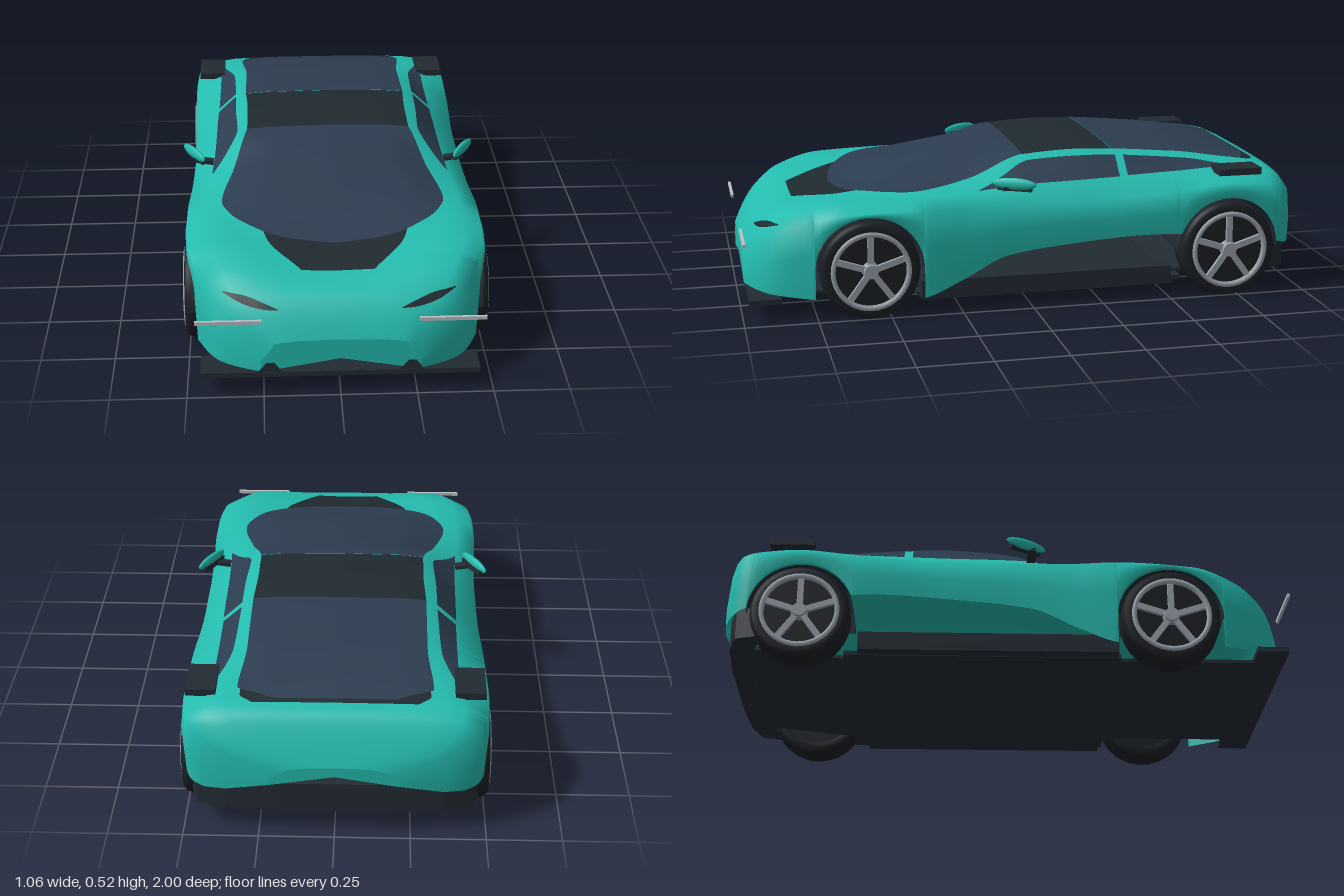
import * as THREE from 'three';

const mat = (name, color, side = THREE.FrontSide) => {
  const m = new THREE.MeshStandardMaterial({ color, side });
  m.name = name;
  return m;
};

// Stations nose to tail: z, centre height, then x/y of roof rail, belt line and shoulder
const STATIONS = [
  [.985, .20, .20, .19, .22, .185, .22, .17],
  [.95, .27, .22, .26, .26, .25, .31, .23],
  [.90, .32, .26, .315, .33, .30, .385, .275],
  [.81, .345, .27, .365, .38, .36, .44, .33],
  [.65, .372, .33, .395, .43, .395, .495, .365],
  [.40, .44, .39, .405, .44, .402, .505, .375],
  [.20, .485, .345, .435, .43, .405, .495, .37],
  [0, .513, .315, .50, .42, .415, .49, .37],
  [-.20, .52, .325, .51, .415, .42, .49, .37],
  [-.55, .503, .33, .485, .41, .435, .50, .395],
  [-.72, .48, .34, .462, .41, .445, .50, .41],
  [-.86, .45, .35, .445, .42, .435, .495, .40],
  [-.92, .432, .34, .425, .41, .415, .475, .39],
  [-.97, .35, .29, .345, .35, .34, .39, .325],
  [-1, .28, .12, .275, .15, .27, .17, .26],
];
const AXLES = [.57, -.71], WHEEL_Y = .172, ARCH = .185;

// Smooth keyed interpolation (keys run from high z to low z) without overshoot
function keyed(keys, z, c = 1) {
  const n = keys.length - 1;
  let i = 0;
  while (i < n - 1 && z < keys[i + 1][0]) i++;
  const slope = k => (k < 0 || k >= n) ? 0 : (keys[k + 1][c] - keys[k][c]) / (keys[k + 1][0] - keys[k][0]);
  const tangent = k => {
    const a = slope(k - 1), b = slope(k);
    if (k === 0) return b;
    if (k === n) return a;
    return a * b > 0 ? 2 * a * b / (a + b) : 0;
  };
  const h = keys[i + 1][0] - keys[i][0];
  const t = Math.min(1, Math.max(0, (z - keys[i][0]) / h)), t2 = t * t, t3 = t2 * t;
  return (2 * t3 - 3 * t2 + 1) * keys[i][c] + (t3 - 2 * t2 + t) * h * tangent(i)
    + (3 * t2 - 2 * t3) * keys[i + 1][c] + (t3 - t2) * h * tangent(i + 1);
}

// Lower edge of the shell: chin, raised door skirt, rear edge and wheel arches
const HEM = [[.985, .085], [.45, .06], [.39, .065], [.25, .12], [.09, .195], [-.1, .22], [-.43, .24],
  [-.88, .19], [-.97, .17], [-1, .21]];
function hem(z) {
  let y = keyed(HEM, z);
  for (const a of AXLES) {
    const d = Math.abs(z - a);
    if (d < ARCH) y = Math.max(y, WHEEL_Y + Math.sqrt(ARCH * ARCH - d * d));
  }
  return y;
}

// Half cross-section from the centreline to the hem; crown and flank follow the keyed lines
function section(z) {
  const [top, rx, ry, bx, by, sx, sy] = [1, 2, 3, 4, 5, 6, 7].map(c => keyed(STATIONS, z, c));
  const low = Math.min(hem(z), sy - .006), flank = .066 + .88 * sx;
  return [[0, top], [.68 * rx, .72 * top + .28 * ry], [rx, ry], [bx, by], [sx, sy],
    [flank, Math.max(.68 * sy, (low + sy) / 2)], [flank - .006, low]].map(([x, y]) => [x, y, z]);
}

// Height of the shell's upper surface
function heightAt(x, z) {
  const p = section(z), ax = Math.abs(x);
  for (let k = 0; k < 5; k++) {
    if (ax <= p[k + 1][0]) return THREE.MathUtils.mapLinear(ax, p[k][0], p[k + 1][0], p[k][1], p[k + 1][1]);
  }
  return -1;
}

const mirrorRow = row => row.map(([x, y, z]) => [-x, y, z]).reverse();

// Surface through rows of points
function sheet(rows) {
  const w = rows[0].length, index = [];
  for (let i = 0; i < rows.length - 1; i++) for (let j = 0; j < w - 1; j++) {
    const a = i * w + j, b = a + 1, c = a + w, d = c + 1;
    index.push(a, b, c, b, d, c);
  }
  const g = new THREE.BufferGeometry();
  g.setAttribute('position', new THREE.Float32BufferAttribute(rows.flat(2), 3));
  g.setIndex(index);
  g.computeVertexNormals();
  return g;
}

const steps = (a, b, n) => Array.from({ length: n + 1 }, (_, i) => a + (b - a) * i / n);

// Panel laid on the upper surface, with a half width keyed along z
const topPanel = (widths, lift) => sheet(steps(widths[0][0], widths[widths.length - 1][0], 44).map(z => {
  const h = keyed(widths, z);
  return steps(-h, h, 28).map(x => [x, heightAt(x, z) + lift, z]);
}));

// Window laid on the band between roof rail and belt line
const sideRows = (tops, bottom) => steps(tops[0][0], tops[tops.length - 1][0], 24).map(z => {
  const p = section(z), a = p[2], b = p[3];
  const dx = b[0] - a[0], dy = b[1] - a[1], l = Math.hypot(dx, dy) / .005;
  return steps(keyed(tops, z), bottom, 3).map(t => [a[0] + dx * t - dy / l, a[1] + dy * t + dx / l, z]);
});

// Depth of the nose surface at a given x and y
function noseZ(x, y) {
  let lo = .8, hi = .985;
  for (let i = 0; i < 30; i++) {
    const m = (lo + hi) / 2;
    if (heightAt(x, m) > y) lo = m; else hi = m;
  }
  return lo;
}

export function createModel() {
  const car = new THREE.Group();
  car.name = 'sportsCar';
  const paint = mat('teal paint', 0x24bbae, THREE.DoubleSide);
  const glass = mat('navy glass', 0x2c3d50, THREE.DoubleSide);
  const roofBlack = mat('gloss black', 0x1f2a2f, THREE.DoubleSide);
  const trim = mat('dark trim', 0x222b33, THREE.DoubleSide);
  const rubber = mat('tyre rubber', 0x1b1f24);
  const metal = mat('alloy', 0x98a1ab);
  const lamp = mat('light bar', 0xb9bfc4);
  const add = (name, geometry, material, parent = car) => {
    const m = new THREE.Mesh(geometry, material);
    m.name = name;
    parent.add(m);
    return m;
  };
  const box = (name, m, w, h, d, x, y, z, parent = car) => {
    const b = add(name, new THREE.BoxGeometry(w, h, d), m, parent);
    b.position.set(x, y, z);
    return b;
  };
  const addPair = (name, rows, m) => {
    add(name + 'Left', sheet(rows), m);
    add(name + 'Right', sheet(rows.map(mirrorRow)), m);
  };

  // Body shell with wheel arches, closed at nose and tail
  const zs = steps(.985, -1, 100);
  for (const a of AXLES) for (const s of [-1, 1]) for (const r of [.1852, .1848, .182, .174]) zs.push(a + s * r);
  const rows = zs.sort((a, b) => b - a).map(z => {
    const p = section(z);
    return [...mirrorRow(p), ...p.slice(1)];
  });
  const nose = rows[0], tail = rows[rows.length - 1];
  add('bodyShell', sheet(rows), paint);
  add('noseCap', sheet([nose.map(() => [0, .13, .985]), nose]), paint);
  add('tailCap', sheet([tail, tail.map(() => [0, .245, -1])]), paint);

  // Glass and black panels along the top
  add('hoodPanel', topPanel([[.56, .25], [.64, .23], [.8, .12]].reverse(), .003), roofBlack);
  add('windshield', topPanel([[.655, .03], [.64, .13], [.6, .24], [.5, .35], [.4, .385], [.2, .345], [0, .297]], .006), glass);
  add('roofPanel', topPanel([[0, .297], [-.16, .295], [-.325, .302]], .005), roofBlack);
  add('rearVent', topPanel([[-.79, .31], [-.84, .31], [-.875, .27]], .003), roofBlack);
  add('rearGlass', topPanel([[-.325, .302], [-.6, .302], [-.81, .32], [-.835, .26], [-.86, .2]], .006), glass);

  // Side windows
  addPair('doorWindow', sideRows([[.18, .88], [.08, .45], [-.02, .14], [-.33, .12]], .92), glass);
  addPair('quarterWindow', sideRows([[-.36, .12], [-.6, .2], [-.78, .85]], .9), glass);

  // Headlight slits
  addPair('headlight', [-1, 1].map(s => steps(.2, .38, 12).map((x, i) => {
    const y = .284 + .034 * i / 12 + s * .011 * Math.sin(Math.PI * (i + .4) / 12.8);
    return [x, y + .002, noseZ(x, y) + .005];
  })), roofBlack);

  // Splitter, floor and undertrays
  box('frontSplitter', trim, .91, .018, .11, 0, .07, .925);
  box('floor', trim, .84, .016, .96, 0, .053, -.08);
  box('frontTray', trim, .72, .012, .52, 0, .066, .64);
  box('rearTray', trim, .72, .012, .4, 0, .08, -.72).rotation.x = .1;

  // Rear bumper
  const points = list => list.map(p => new THREE.Vector2(...p));
  const half = [[.48, .85], [.455, .93], [.36, .96], [.18, .972]];
  const outline = [...half, ...half.map(([x, y]) => [-x, y]).reverse(), [-.43, .85], [-.3, .9], [.3, .9], [.43, .85]];
  const bumper = new THREE.ExtrudeGeometry(new THREE.Shape(points(outline)), { depth: .11, bevelEnabled: false });
  bumper.rotateX(-Math.PI / 2);
  add('rearBumper', bumper, trim).position.y = .085;

  // Parts repeated on both sides
  const chin = new THREE.ShapeGeometry(new THREE.Shape(points([[-.04, 0], [.04, 0], [.015, .035], [-.01, .035]])));
  for (const s of [1, -1]) {
    const side = s > 0 ? 'Left' : 'Right';
    box('sill' + side, trim, .07, .066, .9, s * .43, .08, -.06);
    box('lightBar' + side, lamp, .215, .012, .01, s * .36, .274, .99);
    box('spoilerEnd' + side, trim, .1, .024, .155, s * .44, .448, -.75);
    add('chinInsert' + side, chin, trim).position.set(s * .23, .085, .988);

    // Door mirror
    const mirror = new THREE.Group();
    mirror.name = 'mirror' + side;
    car.add(mirror);
    const shell = add('mirrorHousing', new THREE.SphereGeometry(1, 16, 10), paint, mirror);
    shell.scale.set(.013, .021, .08);
    shell.position.set(s * .49, .447, .07);
    shell.rotation.y = -s * .52;
    box('mirrorBase', trim, .018, .02, .12, s * .484, .432, .066, mirror).rotation.y = -s * .52;
    box('mirrorStalk', trim, .07, .014, .03, s * .455, .425, .09, mirror).rotation.z = s * .15;
  }

  // Wheels and wheel well liners
  const tyre = new THREE.LatheGeometry(points([[.132, -.06], [.158, -.064], [.168, -.052], [.172, -.035], [.172, .035],
    [.168, .05], [.158, .06], [.134, .058]]), 40);
  const barrel = new THREE.LatheGeometry(points([[.138, .05], [.138, .064], [.122, .064], [.122, .05]]), 40);
  const disc = new THREE.CylinderGeometry(.134, .134, .06, 36);
  const hub = new THREE.CylinderGeometry(.024, .03, .03, 20);
  for (const g of [tyre, barrel, disc, hub]) g.rotateZ(-Math.PI / 2);
  const rim = new THREE.TorusGeometry(.13, .008, 8, 40).rotateY(Math.PI / 2);
  const spoke = new THREE.BoxGeometry(.014, .112, .021).translate(0, .07, 0);
  const liner = new THREE.CylinderGeometry(.184, .184, .17, 24, 1, true, 0, Math.PI).rotateZ(Math.PI / 2);
  const wall = new THREE.CircleGeometry(.184, 24, 0, Math.PI).rotateY(Math.PI / 2);
  for (const z of AXLES) for (const s of [1, -1]) {
    const wheel = new THREE.Group();
    wheel.name = (z > 0 ? 'front' : 'rear') + 'Wheel' + (s > 0 ? 'Left' : 'Right');
    wheel.position.set(s * .45, WHEEL_Y, z);
    if (s < 0) wheel.rotation.y = Math.PI;
    car.add(wheel);
    add('tyre', tyre, rubber, wheel);
    add('brakeDisc', disc, rubber, wheel);
    add('rimLip', barrel, metal, wheel);
    add('rimRing', rim, metal, wheel).position.x = .058;
    add('hub', hub, metal, wheel).position.x = .052;
    for (let i = 0; i < 5; i++) {
      const b = add('spoke', spoke, metal, wheel);
      b.position.x = .05;
      b.rotation.x = i * Math.PI * 2 / 5;
    }
    add('wheelWell', liner, trim).position.set(s * .405, WHEEL_Y, z);
    add('wheelWellWall', wall, trim).position.set(s * .32, WHEEL_Y, z);
  }
  return car;
}
